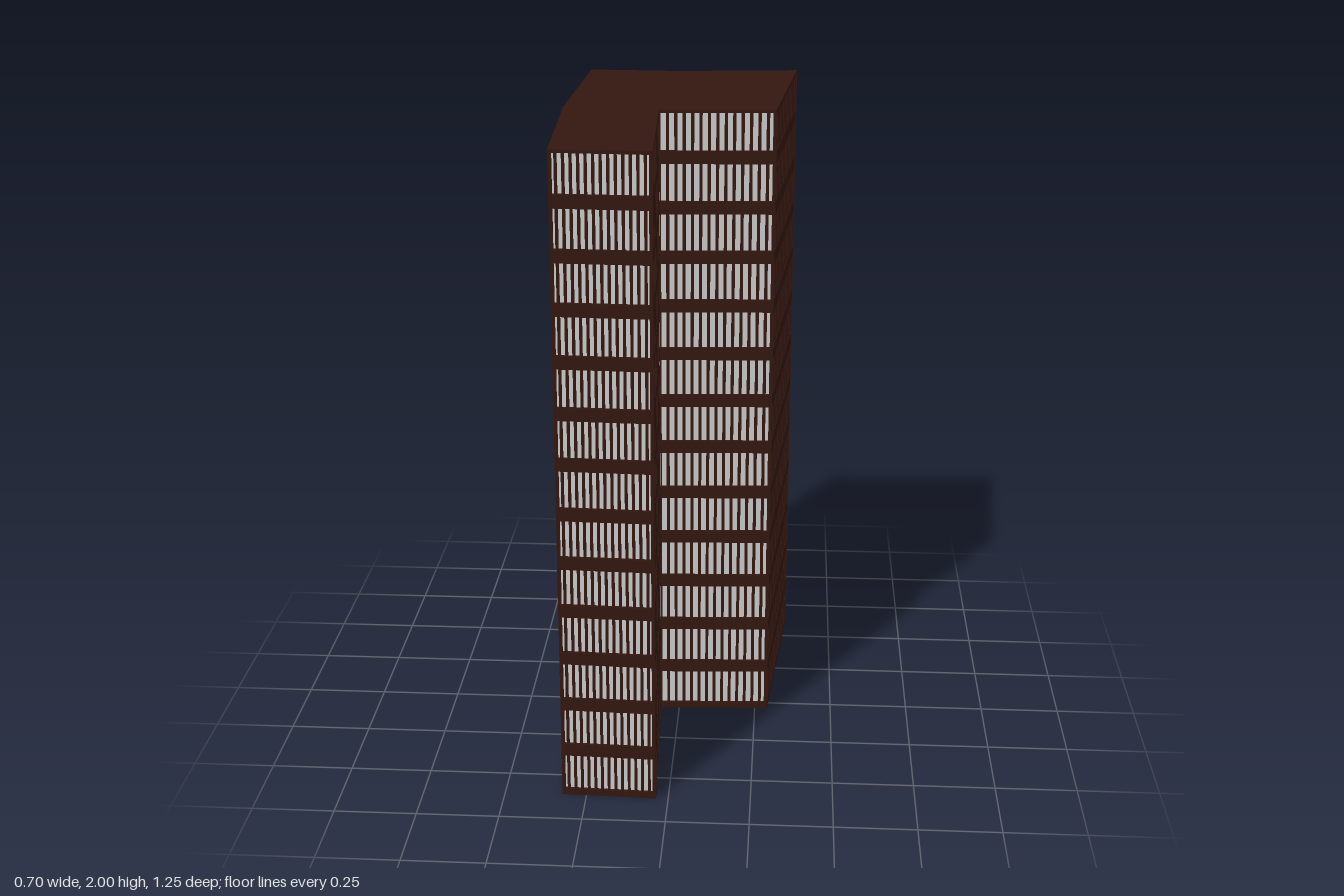
import * as THREE from 'three';
import { mergeGeometries } from 'three/addons/utils/BufferGeometryUtils.js';

// Corners of the floor plan as (x, z), in order around the building
const PLAN = [
  [-0.328, -0.6], [-0.04, -0.589], [0.346, -0.626], [0.29, 0.035],
  [-0.06, 0.052], [-0.037, 0.622], [-0.324, 0.612], [-0.348, 0.03],
].map(([x, z]) => new THREE.Vector2(x, z));

const HEIGHT = 2, FLOORS = 13, PITCH = 0.1546, BAND = 0.04;
const BAYS = 14, FRAME_SHARE = 0.38, RECESS = 0.01;

const inward = (a, b) => {
  const d = b.clone().sub(a).normalize();
  return new THREE.Vector2(-d.y, d.x);
};

// Moves every wall of the plan inwards by a distance
function insetPlan(points, distance) {
  return points.map((p, i) => {
    const n = points.length;
    const n1 = inward(points[(i + n - 1) % n], p);
    const n2 = inward(p, points[(i + 1) % n]);
    const miter = n1.clone().add(n2);
    return p.clone().addScaledVector(miter, distance / (1 + n1.dot(n2)));
  });
}

// Upright prism over a plan, between two heights
function prism(points, y0, y1) {
  const shape = new THREE.Shape(points.map((p) => new THREE.Vector2(p.x, -p.y)));
  const geo = new THREE.ExtrudeGeometry(shape, { depth: y1 - y0, bevelEnabled: false });
  return geo.rotateX(-Math.PI / 2).translate(0, y0, 0);
}

// Row of vertical frames along one wall, half-width at both ends
function wallFrames(a, b) {
  const dir = b.clone().sub(a), length = dir.length();
  const angle = Math.atan2(-dir.y, dir.x);
  const inn = inward(a, b), bay = length / BAYS, width = bay * FRAME_SHARE;
  const parts = [];
  for (let i = 0; i <= BAYS; i++) {
    const start = Math.max(0, i * bay - width / 2);
    const end = Math.min(length, i * bay + width / 2);
    const p = a.clone().addScaledVector(dir, (start + end) / 2 / length)
      .addScaledVector(inn, RECESS / 2 + 0.0005);
    parts.push(new THREE.BoxGeometry(end - start, HEIGHT - 0.01, RECESS)
      .rotateY(angle).translate(p.x, HEIGHT / 2, p.y));
  }
  return mergeGeometries(parts);
}

export function createModel() {
  const model = new THREE.Group();
  model.name = 'officeBlock';
  const brown = new THREE.MeshStandardMaterial({ color: 0x341710 });
  const grey = new THREE.MeshStandardMaterial({ color: 0xcccccc });
  const add = (name, geometry, material) => {
    const mesh = new THREE.Mesh(geometry, material);
    mesh.name = name;
    model.add(mesh);
  };

  // Recessed glass core
  add('glazing', prism(insetPlan(PLAN, RECESS), 0.005, HEIGHT - 0.005), grey);

  // Floor bands, with thin ones at the ground and the roof
  for (let i = 0; i <= FLOORS; i++) {
    const y0 = Math.max(0, i * PITCH - BAND / 2);
    const y1 = i === FLOORS ? HEIGHT : i * PITCH + BAND / 2;
    const name = i === 0 ? 'base' : i === FLOORS ? 'roof' : `floorBand${i}`;
    add(name, prism(PLAN, y0, y1), brown);
  }

  // Vertical window frames on every wall
  PLAN.forEach((a, i) => {
    add(`windowFrames${i + 1}`, wallFrames(a, PLAN[(i + 1) % PLAN.length]), brown);
  });
  return model;
}
